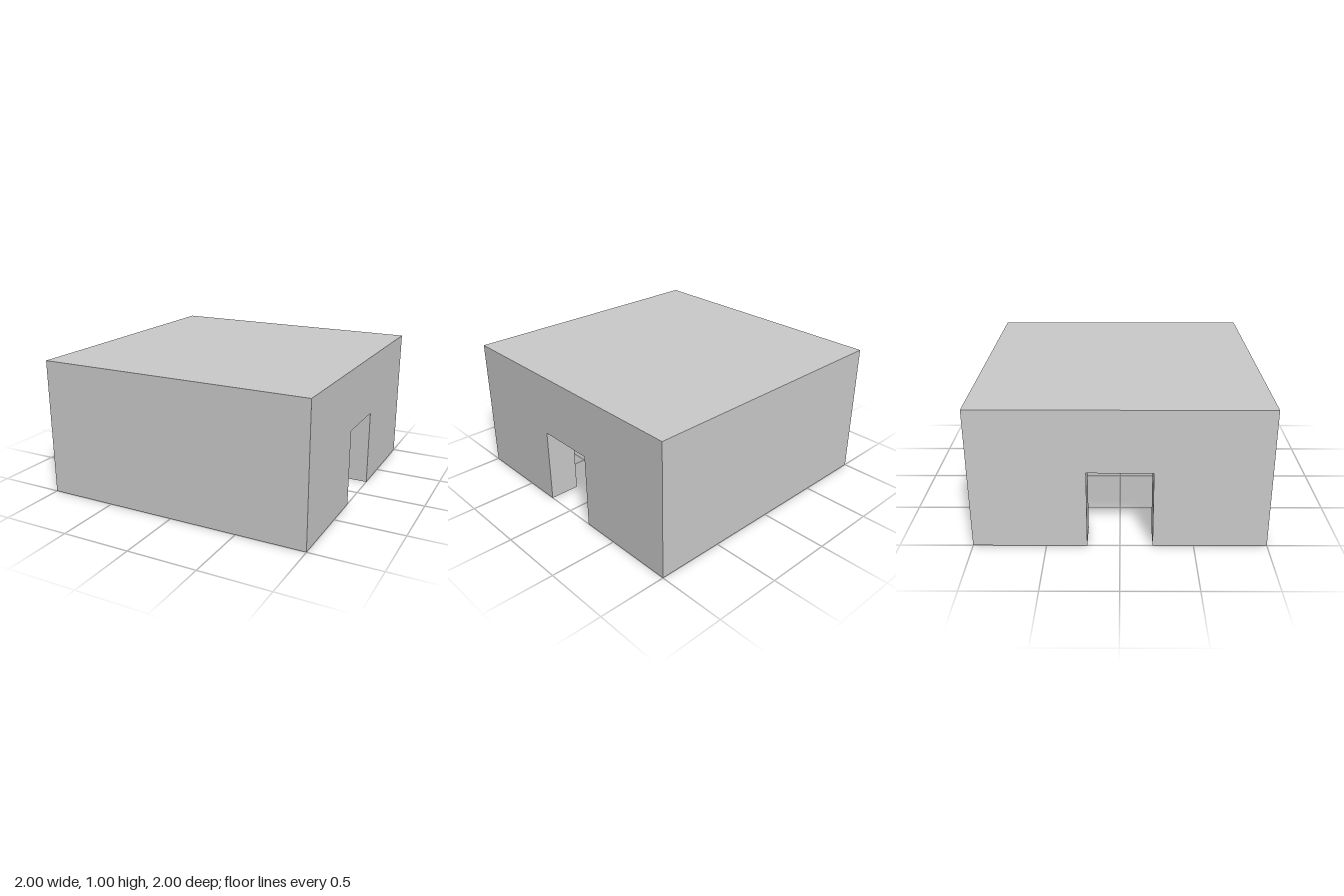
import * as THREE from 'three';

const UNIT = 2 / 9; // wall and roof thickness
const material = new THREE.MeshStandardMaterial({ color: 0xcccccc, flatShading: true });

// Inverted U section in the z-y plane, extruded along x about the given centre
function archSection(name, halfOpening, openingHeight, length, x) {
  const shape = new THREE.Shape([
    [-1, 0], [-halfOpening, 0], [-halfOpening, openingHeight],
    [halfOpening, openingHeight], [halfOpening, 0], [1, 0], [1, 1], [-1, 1],
  ].map(([z, y]) => new THREE.Vector2(z, y)));
  const geometry = new THREE.ExtrudeGeometry(shape, { depth: length, bevelEnabled: false });
  geometry.translate(0, 0, -length / 2).rotateY(Math.PI / 2);
  const mesh = new THREE.Mesh(geometry, material);
  mesh.name = name;
  mesh.position.x = x;
  return mesh;
}

export function createModel() {
  const group = new THREE.Group();
  group.name = 'hollowBlock';

  // Roof with front and back walls around the open-bottomed room
  group.add(archSection('roofWithFrontAndBackWalls', 1 - UNIT, 1 - UNIT, 2 - 2 * UNIT, 0));

  // Side walls, each with a central doorway
  for (const [side, name] of [[1, 'leftDoorWall'], [-1, 'rightDoorWall']]) {
    group.add(archSection(name, UNIT, 2.5 * UNIT, UNIT, side * (1 - UNIT / 2)));
  }
  return group;
}
